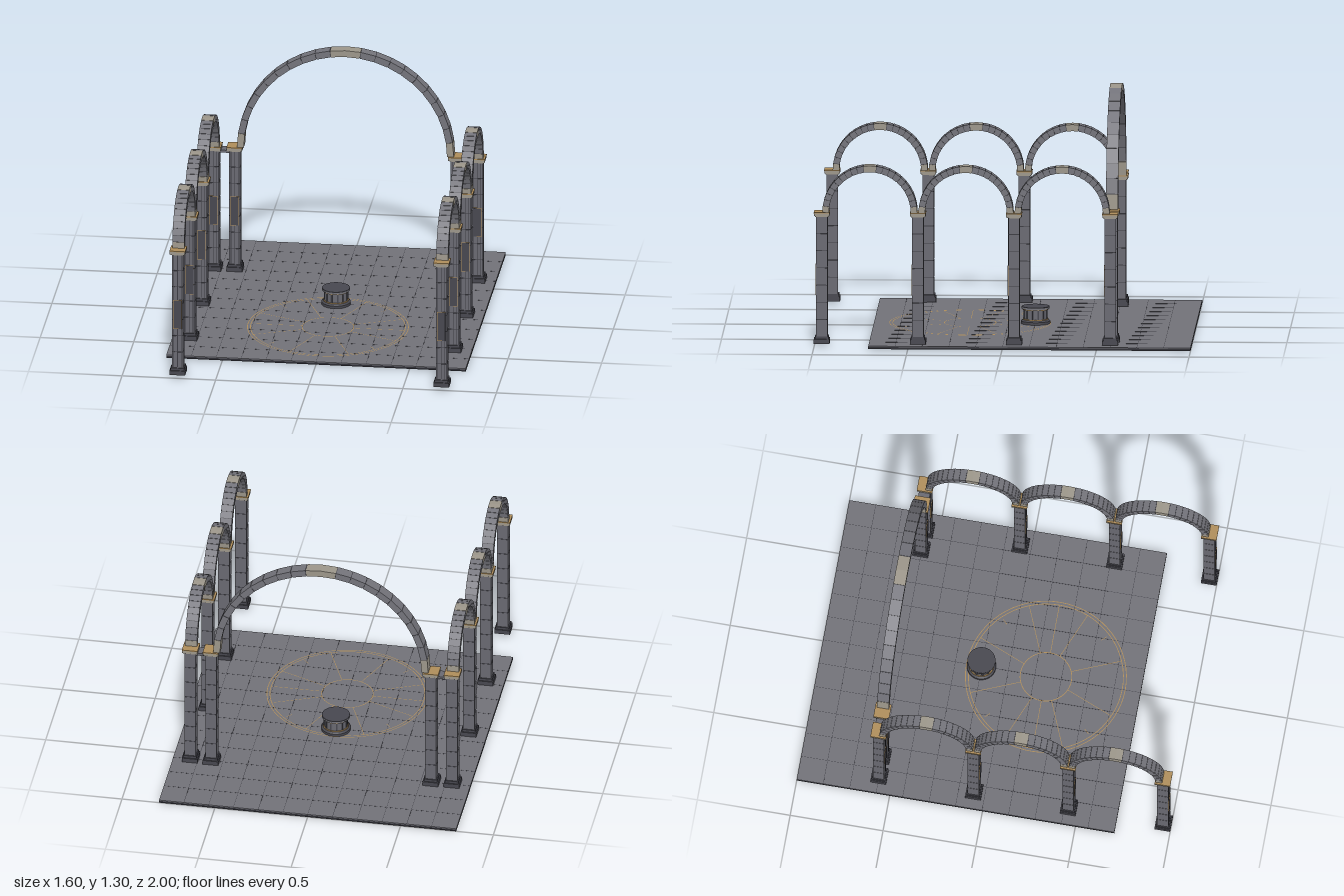
import * as THREE from 'three';

const mat = (name, color) => Object.assign(new THREE.MeshStandardMaterial({ color }), { name });
const M = {
  stone: mat('grey stone', 0x74747b),
  shaft: mat('shaft stone', 0x696971),
  floor: mat('paving', 0x717178),
  joint: mat('dark joint', 0x3a3a41),
  dark: mat('dark stone', 0x47474f),
  under: mat('slab underside', 0x2c2c33),
  light: mat('pale stone', 0x9c968a),
  gold: mat('gold trim', 0xae8d5a),
};

const FLOOR = 0.016, SPRING = 0.722, ROW_X = 0.705, BACK_Z = -0.571, STEP = 0.51;

function add(parent, name, geo, material, x = 0, y = 0, z = 0) {
  const m = new THREE.Mesh(geo, material);
  m.name = name;
  m.position.set(x, y, z);
  parent.add(m);
  return m;
}

// box given by its bottom height
function slab(parent, name, w, h, d, material, x, y, z) {
  return add(parent, name, new THREE.BoxGeometry(w, h, d), material, x, y + h / 2, z);
}

function pillar(x, z) {
  const g = new THREE.Group();
  g.name = 'pillar';
  g.position.set(x, 0, z);
  // stepped base
  slab(g, 'plinth', 0.084, 0.024, 0.084, M.dark, 0, 0.018, 0);
  slab(g, 'baseMoulding', 0.072, 0.014, 0.072, M.dark, 0, 0.042, 0);
  // stacked blocks around a dark core that shows in the joints
  slab(g, 'jointCore', 0.056, 0.65, 0.056, M.joint, 0, 0.055, 0);
  const n = 7, y0 = 0.056, h = (0.704 - y0) / n;
  for (let i = 0; i < n; i++) slab(g, 'shaftBlock', 0.06, h - 0.004, 0.06, M.shaft, 0, y0 + i * h, 0);
  // front grooves
  for (const gx of [-0.019, 0, 0.019]) slab(g, 'groove', 0.003, 0.64, 0.002, M.joint, gx, 0.06, 0.03);
  // front panel with gilded edge
  slab(g, 'panelEdge', 0.046, 0.164, 0.004, M.gold, 0, 0.278, 0.031);
  slab(g, 'panel', 0.042, 0.16, 0.006, M.dark, 0, 0.28, 0.031);
  // capital
  slab(g, 'capitalNeck', 0.072, 0.007, 0.072, M.light, 0, 0.698, 0);
  slab(g, 'capital', 0.082, 0.014, 0.082, M.light, 0, 0.704, 0);
  slab(g, 'capitalTop', 0.084, 0.005, 0.084, M.gold, 0, 0.718, 0);
  return g;
}

// ring piece between two angles, centred on its depth
function ringPiece(rIn, rOut, a0, a1, depth, steps = 1) {
  const pts = [];
  for (const [r, from, to] of [[rOut, a0, a1], [rIn, a1, a0]])
    for (let i = 0; i <= steps; i++) {
      const a = from + (to - from) * i / steps;
      pts.push(new THREE.Vector2(r * Math.cos(a), r * Math.sin(a)));
    }
  return new THREE.ExtrudeGeometry(new THREE.Shape(pts), { depth, bevelEnabled: false }).translate(0, 0, -depth / 2);
}

// round arch of wedge stones: pale springers and keystone
function arch(name, rIn, rOut) {
  const g = new THREE.Group();
  g.name = name;
  const n = 22, da = Math.PI / n, gap = 0.0015 / rOut;
  add(g, 'jointCore', ringPiece(rIn + 0.002, rOut - 0.002, 0, Math.PI, 0.06, n), M.joint);
  for (let i = 0; i < n; i++) {
    if (i === n / 2) continue;
    const key = i === n / 2 - 1;
    const end = (i + (key ? 2 : 1)) * da;
    const pale = key || i === 0 || i === n - 1;
    add(g, key ? 'keystone' : pale ? 'springer' : 'wedgeStone',
      ringPiece(rIn, rOut, i * da + gap, end - gap, 0.064, key ? 2 : 1), pale ? M.light : M.stone);
  }
  return g;
}

function floor() {
  const g = new THREE.Group();
  g.name = 'floor';
  const z0 = -1, z1 = 0.71, d = z1 - z0, zc = (z0 + z1) / 2;
  slab(g, 'floorSlab', 1.6, 0.011, d, M.under, 0, 0, zc);
  slab(g, 'paving', 1.6, 0.005, d, M.floor, 0, 0.011, zc);
  // tile joints
  for (let i = 1; i < 12; i++) {
    slab(g, 'tileJoint', 0.002, 0.0006, d, M.joint, -0.8 + i * 1.6 / 12, FLOOR - 0.0002, zc);
    slab(g, 'tileJoint', 1.6, 0.0006, 0.002, M.joint, 0, FLOOR - 0.0002, z0 + i * d / 12);
  }
  // circular inlay with spokes
  const inlay = new THREE.Group();
  inlay.name = 'floorInlay';
  inlay.position.set(0, FLOOR + 0.001, 0.2);
  for (const r of [0.427, 0.411, 0.137])
    add(inlay, 'inlayRing', new THREE.RingGeometry(r - 0.002, r + 0.002, 64).rotateX(-Math.PI / 2), M.gold);
  for (let i = 0; i < 16; i++) {
    if (i % 8 === 4) continue;
    const short = i % 4 === 2;
    const from = short ? 0.36 : 0.137, to = short ? 0.395 : 0.411;
    const s = add(inlay, 'inlaySpoke',
      new THREE.PlaneGeometry(to - from, 0.003).rotateX(-Math.PI / 2).translate((from + to) / 2, 0, 0), M.gold);
    s.rotation.y = i * Math.PI / 8;
  }
  g.add(inlay);
  return g;
}

function pedestal() {
  const g = new THREE.Group();
  g.name = 'roundPedestal';
  g.position.set(0, 0, -0.147);
  const drum = (name, r0, r1, y0, y1, m) =>
    add(g, name, new THREE.CylinderGeometry(r1, r0, y1 - y0, 24), m, 0, (y0 + y1) / 2, 0);
  drum('foot', 0.078, 0.078, FLOOR, 0.03, M.dark);
  drum('footStep', 0.078, 0.068, 0.03, 0.038, M.dark);
  drum('footTrim', 0.068, 0.068, 0.038, 0.042, M.gold);
  drum('drum', 0.062, 0.062, 0.042, 0.092, M.shaft);
  drum('rimTrim', 0.07, 0.07, 0.091, 0.096, M.gold);
  drum('rim', 0.075, 0.075, 0.096, 0.105, M.stone);
  drum('top', 0.074, 0.074, 0.105, 0.108, M.dark);
  // upright ribs on the drum
  for (let i = 0; i < 12; i++) {
    const a = (i + 0.5) * Math.PI / 6;
    const rib = slab(g, 'drumRib', 0.008, 0.05, 0.006, M.dark, 0.062 * Math.sin(a), 0.042, 0.062 * Math.cos(a));
    rib.rotation.y = a;
  }
  return g;
}

export function createModel() {
  const model = new THREE.Group();
  model.name = 'arcadedCourt';
  model.add(floor(), pedestal());

  // side arcades
  for (const side of [-1, 1]) {
    const row = new THREE.Group();
    row.name = side > 0 ? 'leftArcade' : 'rightArcade';
    for (let i = 0; i < 4; i++) {
      const z = BACK_Z + i * STEP;
      row.add(pillar(side * ROW_X, z));
      if (i === 3) continue;
      const a = arch('sideArch', 0.217, 0.252);
      a.position.set(side * ROW_X, SPRING, z + STEP / 2);
      a.rotation.y = Math.PI / 2;
      row.add(a);
    }
    model.add(row);
    // great arch support tied to the arcade
    model.add(pillar(side * 0.592, BACK_Z - 0.004));
    slab(model, 'tieBlock', 0.06, 0.014, 0.06, M.shaft, side * 0.65, 0.69, BACK_Z);
  }

  // great rear arch
  const great = arch('greatArch', 0.543, 0.579);
  great.position.set(0, SPRING, BACK_Z - 0.004);
  model.add(great);
  return model;
}
